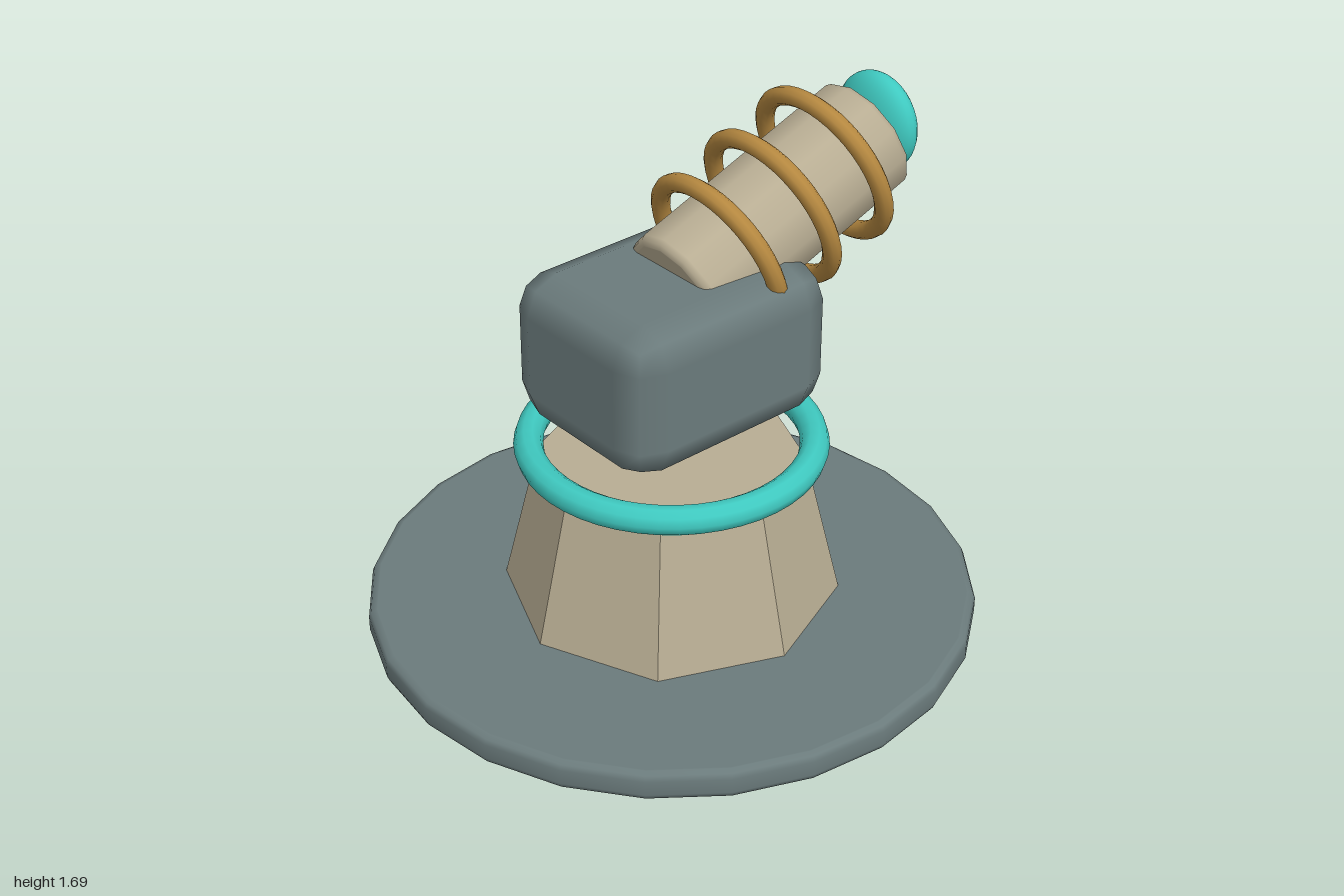
import * as THREE from 'three';
import { RoundedBoxGeometry } from 'three/addons/geometries/RoundedBoxGeometry.js';

const material = (name, color, extra = {}) =>
  Object.assign(new THREE.MeshStandardMaterial({ color, ...extra }), { name });

// Solid of revolution about y with softly bevelled rims and flat caps
function bevelledDisc(radius, height, bevel, sides) {
  const h = height / 2, e = 0.004;
  const points = [[0, -h], [radius - bevel - e, -h]];
  for (let i = 0; i <= 2; i++) {
    const a = (i / 2) * Math.PI / 2;
    points.push([radius - bevel + bevel * Math.sin(a), -h + bevel - bevel * Math.cos(a)]);
  }
  const top = points.slice().reverse().map(([x, y]) => [x, -y]);
  return new THREE.LatheGeometry(
    [...points, ...top].map(([x, y]) => new THREE.Vector2(x, y)), sides);
}

export function createModel() {
  const model = new THREE.Group();
  model.name = 'turret';

  const slate = material('slate grey', 0x6b7b7c);
  const sand = material('sand', 0xb8ad93);
  const sandFlat = material('sand', 0xb8ad93, { flatShading: true });
  const teal = material('teal', 0x3fc9c0);
  const bronze = material('bronze', 0xb58840);

  const add = (parent, name, geometry, mat, x = 0, y = 0, z = 0) => {
    const mesh = new THREE.Mesh(geometry, mat);
    mesh.name = name;
    mesh.position.set(x, y, z);
    parent.add(mesh);
    return mesh;
  };

  // Base plate and eight-sided pedestal
  add(model, 'basePlate', bevelledDisc(1, 0.1, 0.025, 24), slate, 0, 0.05);
  add(model, 'pedestal', new THREE.CylinderGeometry(0.43, 0.55, 0.5, 8), sandFlat, 0, 0.35);

  // Glowing ring between pedestal and head
  const collar = add(model, 'collarRing', new THREE.TorusGeometry(0.457, 0.048, 10, 48), teal, 0, 0.648);
  collar.rotation.x = Math.PI / 2;

  // Floating head block
  add(model, 'head', new RoundedBoxGeometry(0.81, 0.51, 0.646, 1, 0.12), slate, 0, 1.015);

  // Barrel raised by 20 degrees, with three coils around it
  const gun = new THREE.Group();
  gun.name = 'barrelAssembly';
  gun.position.set(0.414, 1.325, 0);
  gun.rotation.z = THREE.MathUtils.degToRad(20);
  model.add(gun);

  const barrel = add(gun, 'barrel', bevelledDisc(0.202, 0.85, 0.025, 12), sand);
  barrel.rotation.z = -Math.PI / 2;

  for (let i = -1; i <= 1; i++) {
    const coil = add(gun, 'coil', new THREE.TorusGeometry(0.261, 0.031, 10, 40), bronze, i * 0.234 + 0.005, 0.014);
    coil.rotation.y = Math.PI / 2;
  }

  // Flattened lens at the muzzle
  const lens = add(model, 'lens', new THREE.SphereGeometry(1, 28, 20), teal, 0.866, 1.498);
  lens.scale.set(0.075, 0.167, 0.167);

  return model;
}
